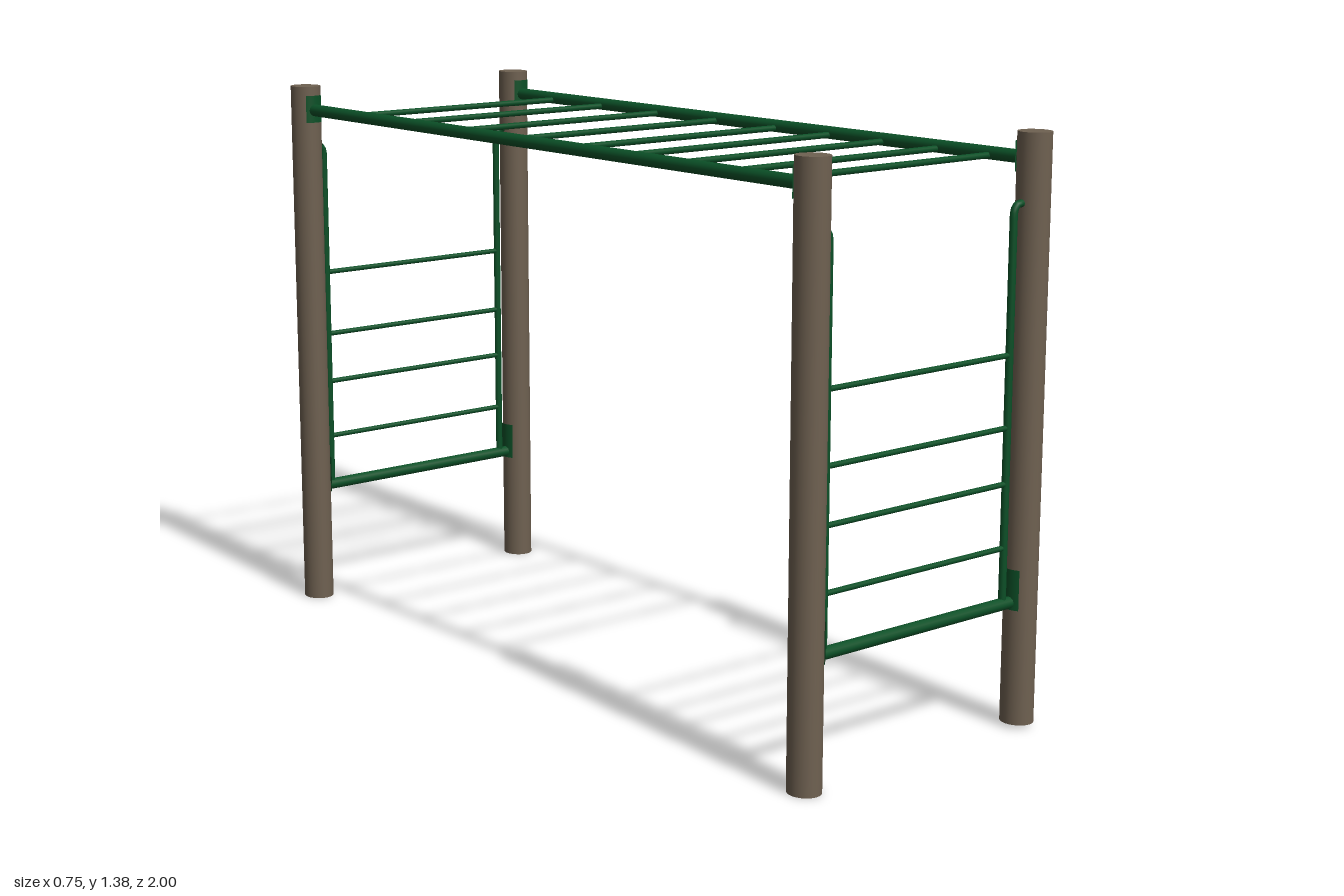
import * as THREE from 'three';

export function createModel() {
  const model = new THREE.Group();
  model.name = 'monkeyBars';
  const wood = new THREE.MeshStandardMaterial({ color: 0x6f6151 });
  wood.name = 'weathered wood';
  const green = new THREE.MeshStandardMaterial({ color: 0x0b5027 });
  green.name = 'green metal';
  green.side = THREE.DoubleSide;

  const PX = 0.338, PZ = 0.959, RX = 0.0375, RZ = 0.041, TOP = 1.38;
  const add = (name, geometry, material) => {
    const mesh = new THREE.Mesh(geometry, material);
    mesh.name = name;
    model.add(mesh);
    return mesh;
  };
  // straight round bar along x or z
  const bar = (name, axis, length, radius, x, y, z) => {
    const g = new THREE.CylinderGeometry(radius, radius, length, 12);
    if (axis === 'x') g.rotateZ(Math.PI / 2);
    else g.rotateX(Math.PI / 2);
    add(name, g, green).position.set(x, y, z);
  };
  // thin plate curved round a post, facing the given angle (0 = +z)
  const bracket = (name, x, z, y, height, angle) => {
    const g = new THREE.CylinderGeometry(1, 1, height, 10, 1, true, angle - 0.6, 1.2);
    g.scale(RX + 0.003, 1, RZ + 0.003);
    add(name, g, green).position.set(x, y, z);
  };

  for (const sx of [-1, 1]) {
    for (const sz of [-1, 1]) {
      // slightly oval posts; one stands a touch clear of the ground
      const base = sx > 0 && sz > 0 ? 0.01 : 0;
      const post = new THREE.CylinderGeometry(1, 1, TOP - base, 24);
      post.scale(RX, 1, RZ);
      add('post', post, wood).position.set(sx * PX, (TOP + base) / 2, sz * PZ);
      bracket('railBracket', sx * PX, sz * PZ, 1.322, 0.07, sz > 0 ? Math.PI : 0);
      bracket('ladderBracket', sx * PX, sz * PZ, 0.333, 0.096, -sx * Math.PI / 2);

      // ladder upright, bending into the post at the top
      const x = sx > 0 ? 0.276 : -0.288;
      const path = new THREE.CurvePath();
      const v = (px, py) => new THREE.Vector3(px, py, sz * PZ);
      path.add(new THREE.LineCurve3(v(x, 0.302), v(x, 1.195)));
      path.add(new THREE.QuadraticBezierCurve3(v(x, 1.195), v(x, 1.222), v(x + sx * 0.02, 1.222)));
      path.add(new THREE.LineCurve3(v(x + sx * 0.02, 1.222), v(sx * 0.306, 1.222)));
      add('ladderUpright', new THREE.TubeGeometry(path, 90, 0.009, 10), green);
    }
    // overhead side rail
    bar('sideRail', 'z', 1.86, 0.0155, sx * PX, 1.319, 0);
  }

  // overhead rungs
  for (const z of [-0.765, -0.555, -0.325, -0.095, 0.125, 0.315, 0.495, 0.672, 0.832])
    bar('overheadRung', 'x', 0.67, 0.0075, 0, 1.315, z);

  // end ladders
  for (const sz of [-1, 1]) {
    bar('ladderBase', 'x', 0.61, 0.0145, 0, 0.302, sz * PZ);
    for (const y of [0.435, 0.585, 0.715, 0.882])
      bar('ladderRung', 'x', 0.564, 0.0065, -0.006, y, sz * PZ);
  }
  return model;
}
